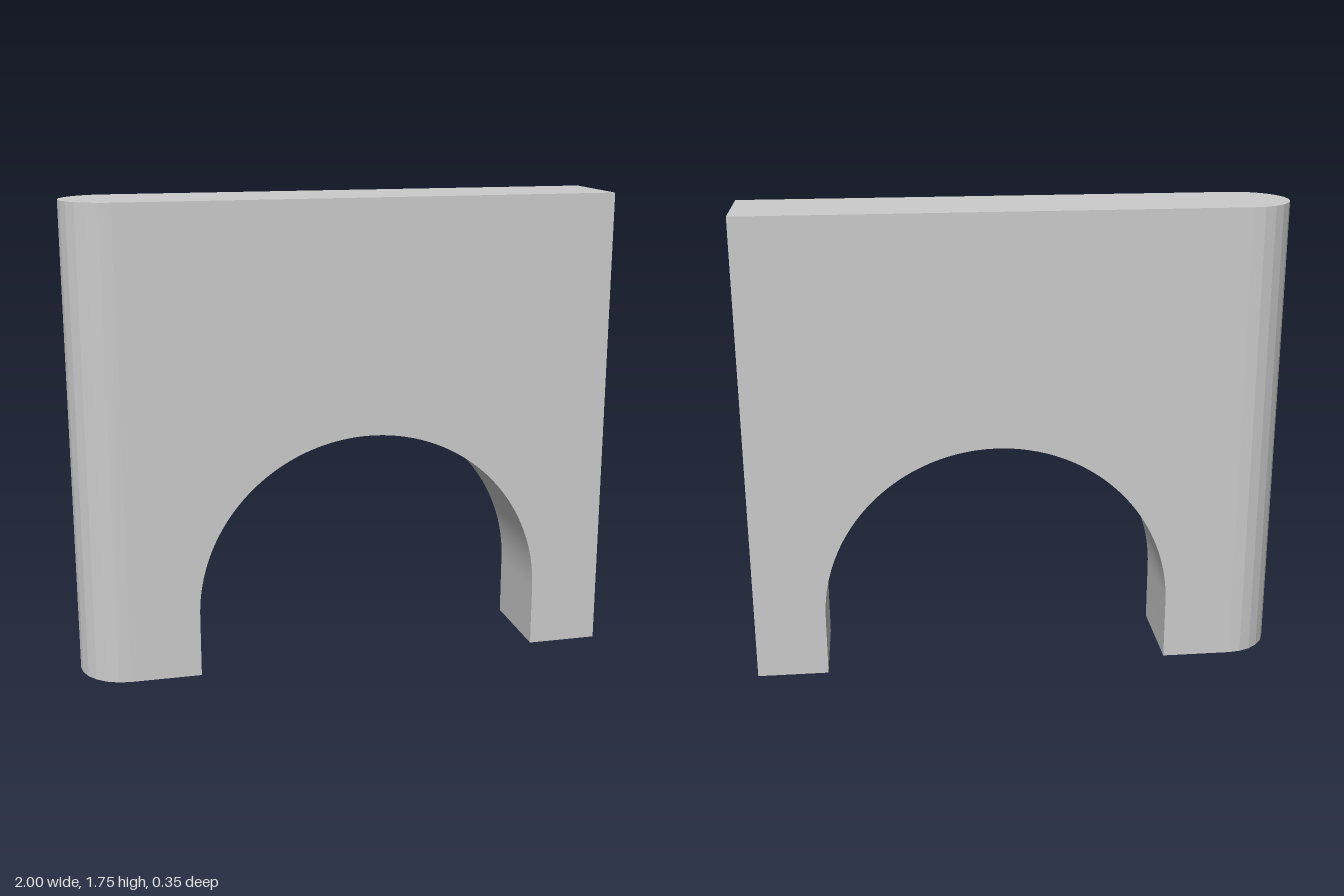
import * as THREE from 'three';
import { toCreasedNormals } from 'three/addons/utils/BufferGeometryUtils.js';

const HEIGHT = 1.75;
const HALF_DEPTH = 0.174;
const END_X = -1 + HALF_DEPTH; // where the rounded end meets the wall
const ARCH = { x: 0.085, y: 0.235, r: 0.65 };

export function createModel() {
  const model = new THREE.Group();
  model.name = 'archedWall';

  // Wall with an arched opening, drawn from the front and extruded in depth
  const outline = new THREE.Shape();
  outline.moveTo(END_X, 0);
  outline.lineTo(ARCH.x - ARCH.r, 0);
  outline.lineTo(ARCH.x - ARCH.r, ARCH.y);
  outline.absarc(ARCH.x, ARCH.y, ARCH.r, Math.PI, 0, true);
  outline.lineTo(ARCH.x + ARCH.r, 0);
  outline.lineTo(1, 0);
  outline.lineTo(1, HEIGHT);
  outline.lineTo(END_X, HEIGHT);
  outline.closePath();
  const wallGeometry = new THREE.ExtrudeGeometry(outline, {
    depth: 2 * HALF_DEPTH,
    bevelEnabled: false,
    curveSegments: 48,
  });
  wallGeometry.translate(0, 0, -HALF_DEPTH);
  const wall = new THREE.Mesh(
    toCreasedNormals(wallGeometry, Math.PI / 6),
    new THREE.MeshStandardMaterial({ color: 0xcccccc })
  );
  wall.name = 'wall';
  model.add(wall);

  // Faceted half-round end on the -x side
  const roundedEnd = new THREE.Mesh(
    new THREE.CylinderGeometry(HALF_DEPTH, HALF_DEPTH, HEIGHT, 12, 1, false, Math.PI, Math.PI),
    new THREE.MeshStandardMaterial({ color: 0xcccccc, flatShading: true })
  );
  roundedEnd.name = 'roundedEnd';
  roundedEnd.position.set(END_X, HEIGHT / 2, 0);
  model.add(roundedEnd);

  return model;
}
